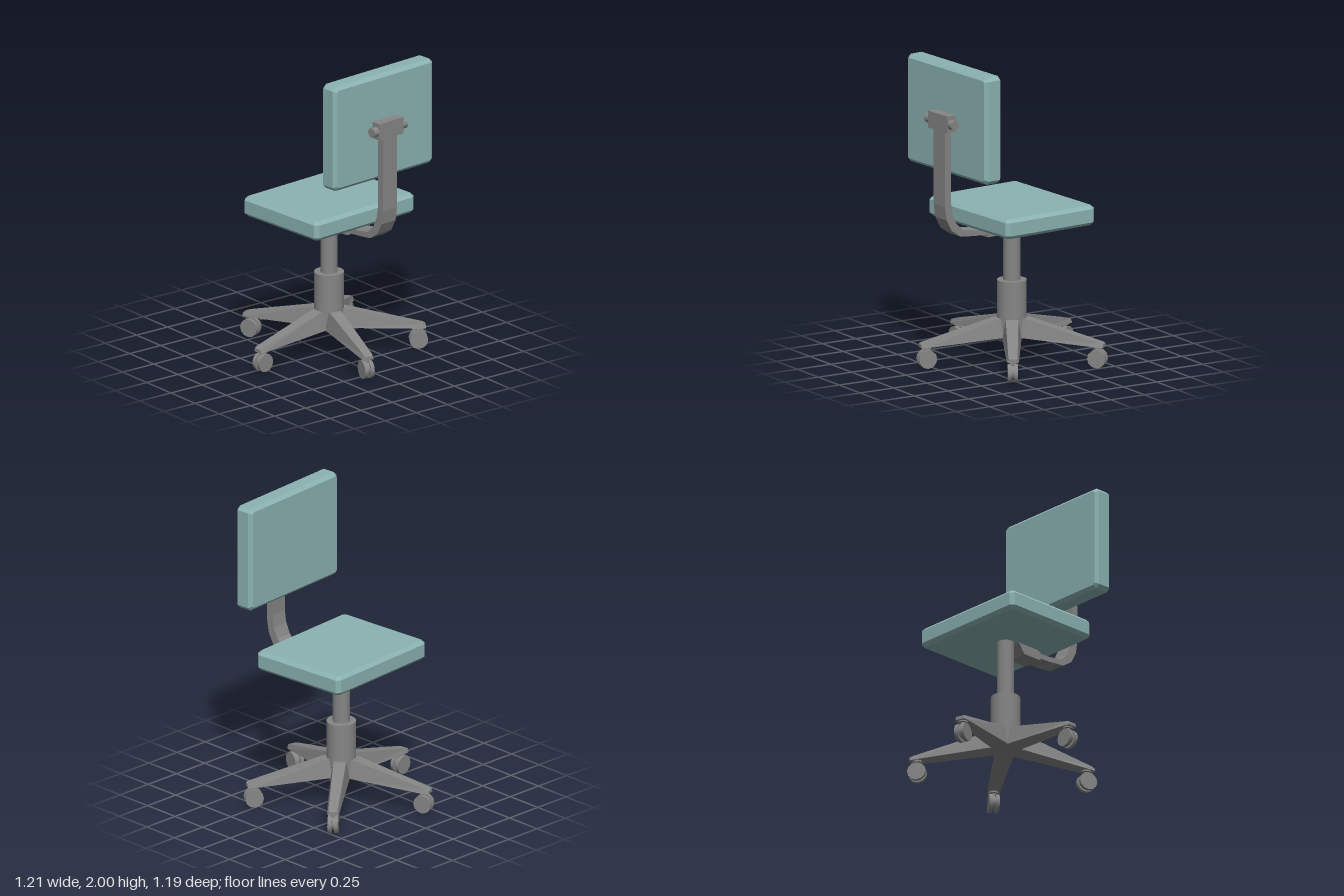
import * as THREE from 'three';

const fabric = new THREE.MeshStandardMaterial({ color: 0x8bb3b2 });
fabric.name = 'teal fabric';
const metal = new THREE.MeshStandardMaterial({ color: 0x868686 });
metal.name = 'grey metal';

function add(parent, name, geometry, material, x = 0, y = 0, z = 0) {
  const mesh = new THREE.Mesh(geometry, material);
  mesh.name = name;
  mesh.position.set(x, y, z);
  parent.add(mesh);
  return mesh;
}

const shapeOf = (pts) => new THREE.Shape(pts.map(([x, y]) => new THREE.Vector2(x, y)));

// Slab with chamfered edges and corners, centred, thin along z
function cushionGeometry(w, h, thick) {
  const b = 0.022, c = 0.012, x = w / 2 - b, y = h / 2 - b;
  const shape = shapeOf([
    [x - c, -y], [x, c - y], [x, y - c], [x - c, y],
    [c - x, y], [-x, y - c], [-x, c - y], [c - x, -y],
  ]);
  const g = new THREE.ExtrudeGeometry(shape, {
    depth: thick - 2 * b, bevelEnabled: true, bevelSegments: 1, bevelSize: b, bevelThickness: b,
  });
  return g.translate(0, 0, b - thick / 2);
}

// Side profile extruded to a width centred on z = 0
function profileGeometry(pts, width) {
  return new THREE.ExtrudeGeometry(shapeOf(pts), { depth: width, bevelEnabled: false })
    .translate(0, 0, -width / 2);
}

// Leg sections: radius, top y, bottom y, top half-width, bottom half-width
const legSections = [
  [0.0, 0.29, 0.17, 0.04, 0.06],
  [0.11, 0.29, 0.168, 0.04, 0.06],
  [0.595, 0.166, 0.136, 0.029, 0.039],
  [0.615, 0.158, 0.136, 0.024, 0.032],
];

function legGeometry() {
  const n = legSections.length - 1;
  const g = new THREE.BoxGeometry(n, 1, 1, n, 1, 1).toNonIndexed();
  const p = g.attributes.position;
  for (let i = 0; i < p.count; i++) {
    const [r, top, bottom, wTop, wBottom] = legSections[Math.round(p.getX(i) + n / 2)];
    const up = p.getY(i) > 0;
    p.setXYZ(i, r, up ? top : bottom, Math.sign(p.getZ(i)) * (up ? wTop : wBottom));
  }
  g.computeVertexNormals();
  return g;
}

function makeCaster() {
  const caster = new THREE.Group();
  caster.name = 'caster';
  const wheel = new THREE.CylinderGeometry(0.06, 0.06, 0.024, 12).rotateX(Math.PI / 2);
  for (const s of [-1, 1]) add(caster, 'wheel', wheel, metal, 0, 0.06, s * 0.021);
  add(caster, 'wheelHousing', new THREE.CylinderGeometry(0.045, 0.045, 0.02, 12).rotateX(Math.PI / 2),
    metal, 0, 0.065, 0);
  add(caster, 'casterStem', new THREE.CylinderGeometry(0.016, 0.016, 0.07, 10), metal, 0, 0.115, 0);
  add(caster, 'casterCollar', new THREE.CylinderGeometry(0.032, 0.032, 0.012, 12), metal, 0, 0.133, 0);
  return caster;
}

export function createModel() {
  const model = new THREE.Group();
  model.name = 'officeChair';
  const chair = new THREE.Group();
  chair.name = 'chair';
  chair.position.set(-0.02, 0, -0.035);
  chair.rotation.y = 0.08;
  model.add(chair);

  // Five-legged base on casters
  const leg = legGeometry();
  for (let i = 0; i < 5; i++) {
    const spoke = new THREE.Group();
    spoke.name = 'baseLeg';
    spoke.rotation.y = -(Math.PI / 10 + (i * Math.PI * 2) / 5);
    add(spoke, 'leg', leg, metal);
    const caster = makeCaster();
    caster.position.x = 0.57;
    spoke.add(caster);
    chair.add(spoke);
  }

  // Gas lift
  add(chair, 'hub', new THREE.CylinderGeometry(0.095, 0.095, 0.36, 24), metal, 0, 0.355, 0);
  add(chair, 'column', new THREE.CylinderGeometry(0.055, 0.055, 0.41, 24), metal, 0, 0.725, 0);

  // Cushions
  add(chair, 'seat', cushionGeometry(0.7, 0.855, 0.13).rotateX(-Math.PI / 2), fabric, 0, 0.985, 0);
  add(chair, 'backrest', cushionGeometry(0.855, 0.7, 0.13).rotateY(Math.PI / 2), fabric, 0.456, 1.65, 0);

  // Mount under the seat and the curved back support
  add(chair, 'armMount', profileGeometry(
    [[0.05, 0.925], [0.1, 0.855], [0.24, 0.855], [0.24, 0.912], [0.2, 0.925]], 0.135), metal);
  add(chair, 'backSupport', profileGeometry([
    [0.2, 0.872], [0.33, 0.876], [0.45, 0.888], [0.52, 0.935], [0.56, 1.01], [0.573, 1.1], [0.573, 1.62],
    [0.527, 1.62], [0.527, 1.13], [0.515, 1.05], [0.485, 0.98], [0.43, 0.925], [0.33, 0.91], [0.2, 0.905],
  ], 0.12), metal);

  // Hinge block with a knob at each end
  add(chair, 'hingeBlock', new THREE.BoxGeometry(0.07, 0.11, 0.205), metal, 0.551, 1.645, 0);
  add(chair, 'hingeKnobs', new THREE.CylinderGeometry(0.032, 0.032, 0.285, 12).rotateX(Math.PI / 2),
    metal, 0.555, 1.643, 0);

  return model;
}
